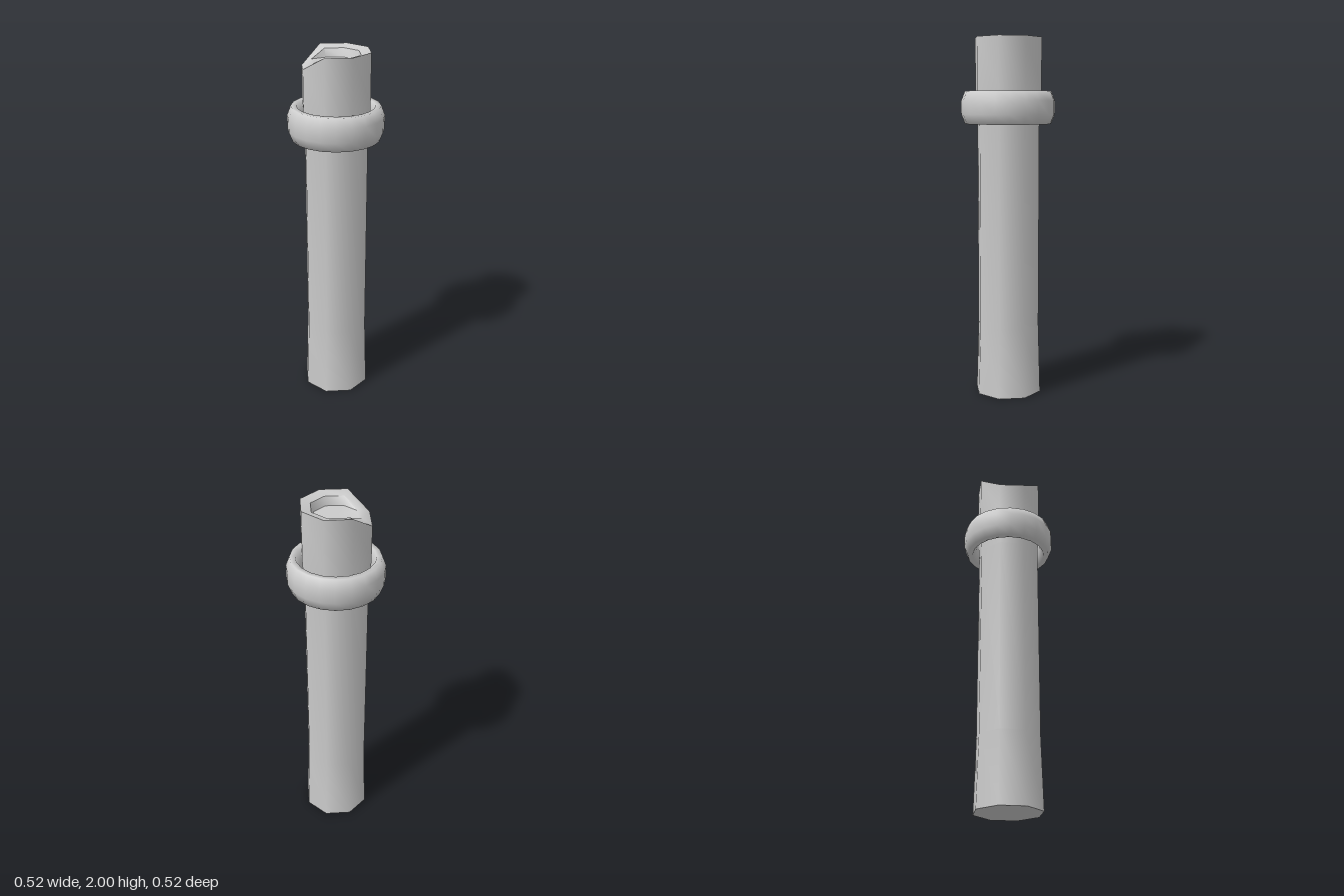
import * as THREE from 'three';
import { toCreasedNormals } from 'three/addons/utils/BufferGeometryUtils.js';

const material = new THREE.MeshStandardMaterial({ color: 0xcccccc });

function lathe(points, sides) {
  return new THREE.LatheGeometry(points.map(([r, y]) => new THREE.Vector2(r, y)), sides);
}

function addPart(group, name, geometry, crease) {
  const mesh = new THREE.Mesh(toCreasedNormals(geometry, crease), material);
  mesh.name = name;
  group.add(mesh);
}

export function createModel() {
  const group = new THREE.Group();
  group.name = 'ringedPost';

  // Eight-sided post: flared foot, thicker head, bevelled rim and shallow recess
  const post = lathe([
    [0, 0], [0.19, 0], [0.178, 0.4], [0.178, 1.52], [0.19, 1.72],
    [0.19, 2], [0.135, 1.985], [0.118, 1.94], [0, 1.94],
  ], 8);

  // Chip in the rim: two neighbouring corners on the right drop down
  const p = post.attributes.position;
  for (let i = 0; i < p.count; i++) {
    const x = p.getX(i), y = p.getY(i), z = p.getZ(i);
    const corner = x < -0.05 && z > -0.02;
    if (!corner) continue;
    if (y > 1.99) p.setY(i, z > 0.05 ? 1.92 : 1.91);
    else if (y > 1.98) p.setY(i, 1.945);
  }
  addPart(group, 'post', post, 0.9);

  // Collar ring with a tall eight-sided cross-section
  const profile = [];
  const k = 1 / Math.cos(Math.PI / 8);
  for (let i = 0; i <= 8; i++) {
    const a = (i - 0.5) * Math.PI / 4;
    profile.push([0.225 + 0.035 * k * Math.cos(a), 1.62 + 0.09 * k * Math.sin(a)]);
  }
  addPart(group, 'collarRing', lathe(profile, 20), 1.3);

  return group;
}
